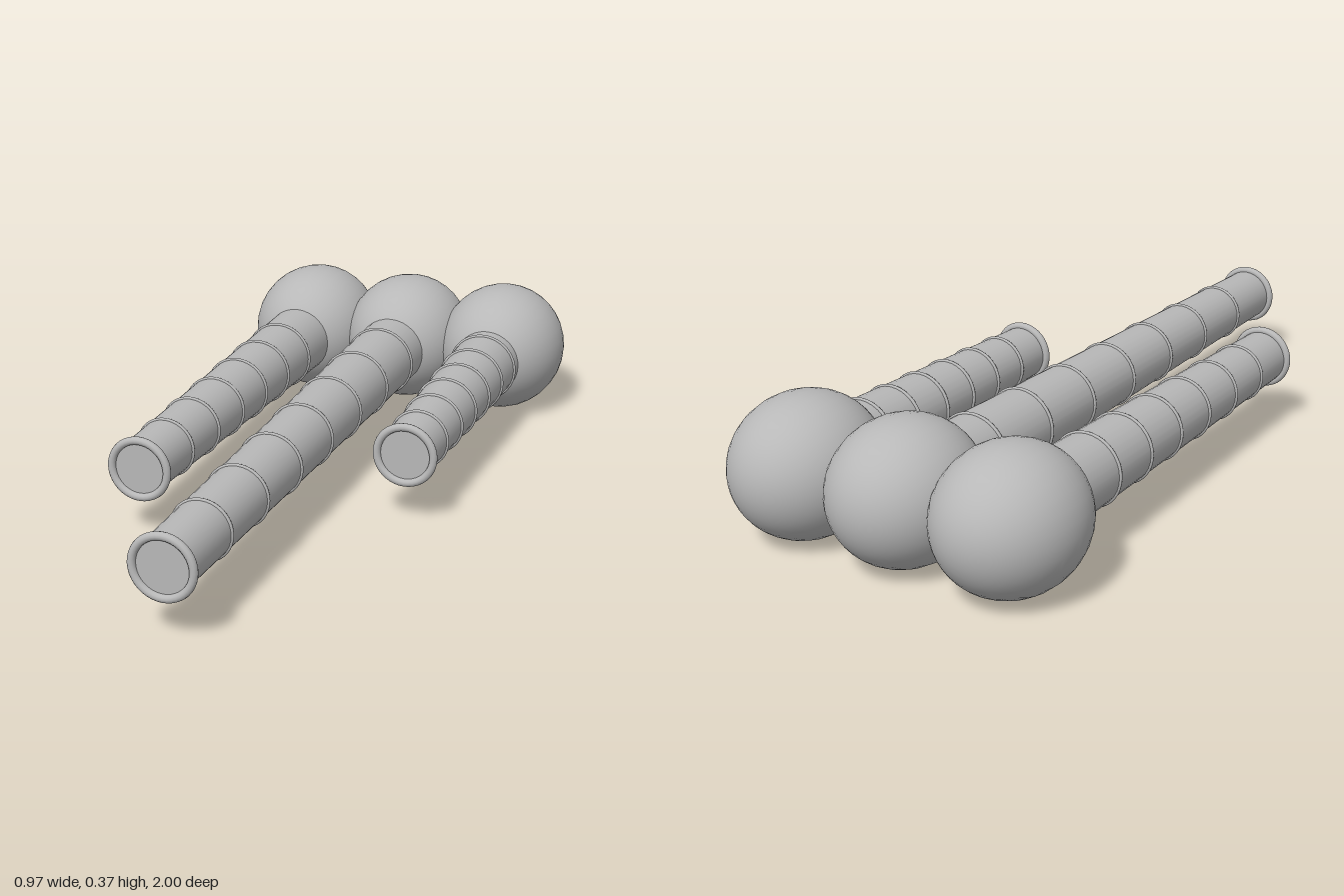
import * as THREE from 'three';

const grey = new THREE.MeshStandardMaterial({ color: 0xb8b8b8 });
grey.name = 'grey';

const BASE_R = 0.102, END_R = 0.073, SEGMENTS = 8;

function add(parent, name, geometry, z = 0) {
  const mesh = new THREE.Mesh(geometry, grey);
  mesh.name = name;
  mesh.position.z = z;
  parent.add(mesh);
  return mesh;
}

// One ball with a tapered, banded tube pointing forward
function createPipe(name, startZ, endZ) {
  const pipe = new THREE.Group();
  pipe.name = name;

  // Slightly elongated ball, poles along z
  const ball = new THREE.SphereGeometry(0.185, 32, 24).rotateX(Math.PI / 2);
  ball.scale(1, 1, 0.208 / 0.185);
  add(pipe, 'ball', ball, -0.792);

  // Tapered tube
  const length = endZ - startZ;
  const tube = new THREE.CylinderGeometry(END_R, BASE_R, length, 32).rotateX(Math.PI / 2);
  add(pipe, 'tube', tube, startZ + length / 2);

  // Thin bands at even steps along the tube
  for (let i = 1; i < SEGMENTS; i++) {
    const t = i / SEGMENTS;
    const radius = THREE.MathUtils.lerp(BASE_R, END_R, t);
    add(pipe, 'band' + i, new THREE.TorusGeometry(radius, 0.005, 8, 40), startZ + length * t);
  }

  // Thick ring around the open end
  add(pipe, 'endRing', new THREE.TorusGeometry(0.0765, 0.0105, 12, 40), endZ);
  return pipe;
}

export function createModel() {
  const model = new THREE.Group();
  model.name = 'triplePipes';
  const pipes = [
    ['rightPipe', -0.299, -0.783, 0.487],
    ['middlePipe', 0, -0.73, 0.987],
    ['leftPipe', 0.299, -0.817, 0.163],
  ];
  for (const [name, x, startZ, endZ] of pipes) {
    const pipe = createPipe(name, startZ, endZ);
    pipe.position.set(x, 0.187, 0);
    model.add(pipe);
  }
  return model;
}
